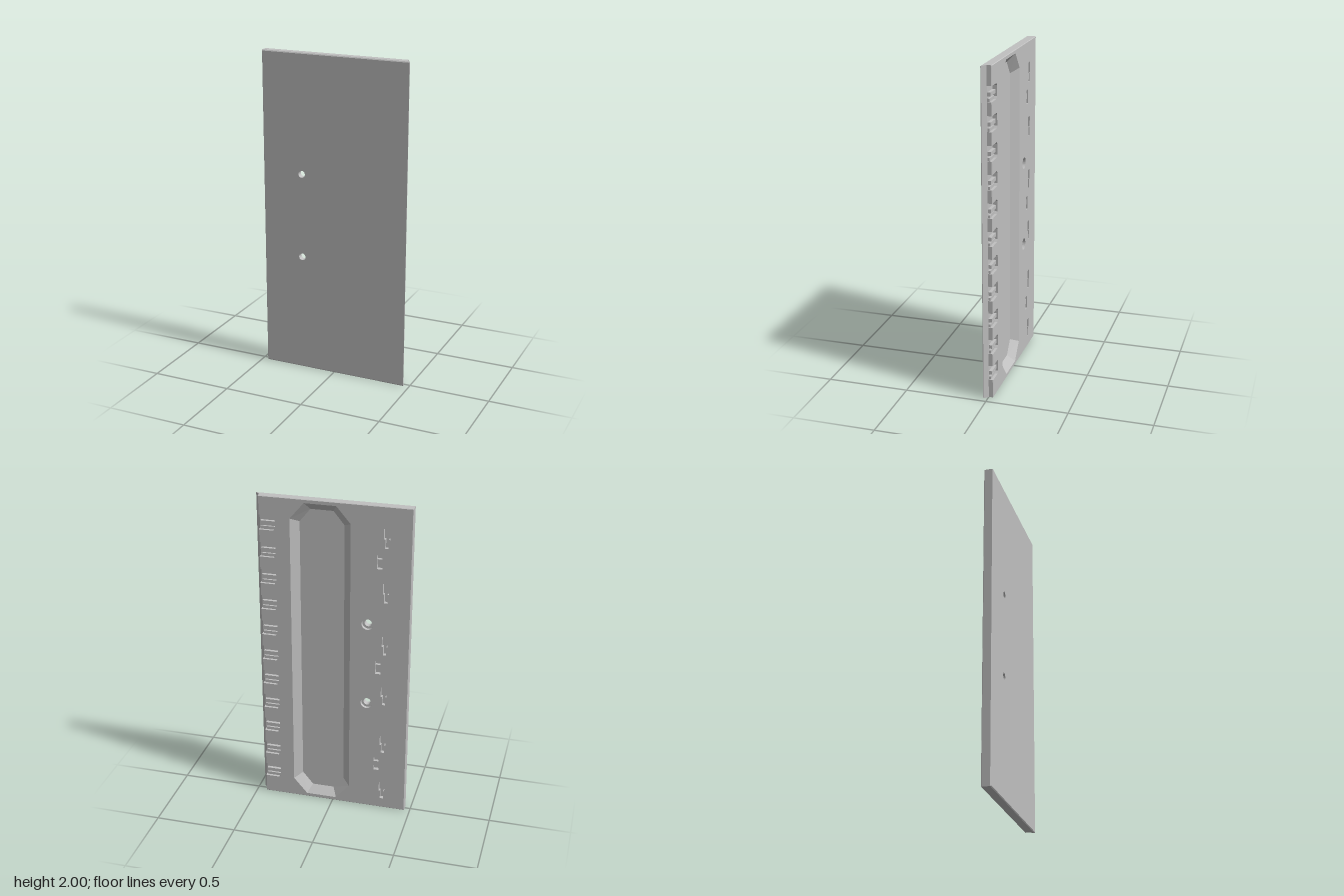
import * as THREE from 'three';
import { mergeGeometries } from 'three/addons/utils/BufferGeometryUtils.js';

const BACK = -0.028, FRONT = 0.028;
const V = (x, y) => new THREE.Vector2(x, y);
const rect = (x0, y0, x1, y1) => [V(x0, y0), V(x1, y0), V(x1, y1), V(x0, y1)];
const circle = (x, y, r, n = 28) => Array.from({ length: n }, (_, i) => {
  const a = (i / n) * Math.PI * 2;
  return V(x + r * Math.cos(a), y + r * Math.sin(a));
});
// Octagon with corners cut by cx, cy
const octagon = (x0, y0, x1, y1, cx, cy) => [
  V(x0 + cx, y0), V(x1 - cx, y0), V(x1, y0 + cy), V(x1, y1 - cy),
  V(x1 - cx, y1), V(x0 + cx, y1), V(x0, y1 - cy), V(x0, y0 + cy)];

// Walls through a stack of [loop, z]; inward walls for pockets
function walls(stack, inward = false) {
  const pos = [];
  for (let k = 0; k + 1 < stack.length; k++) {
    const [a, za] = stack[k], [b, zb] = stack[k + 1];
    a.forEach((p, i) => {
      const j = (i + 1) % a.length;
      const A = [p.x, p.y, za], B = [a[j].x, a[j].y, za];
      const C = [b[j].x, b[j].y, zb], D = [b[i].x, b[i].y, zb];
      pos.push(...(inward ? [A, C, B, A, D, C] : [A, B, C, A, C, D]).flat());
    });
  }
  const g = new THREE.BufferGeometry();
  g.setAttribute('position', new THREE.Float32BufferAttribute(pos, 3));
  g.computeVertexNormals();
  return g;
}

// Flat face at depth z, facing front or back
function cap(loop, z, facesBack, holes = []) {
  const shape = new THREE.Shape(loop);
  shape.holes = holes.map((h) => new THREE.Path(h));
  let g = new THREE.ShapeGeometry(shape);
  g.translate(0, 0, z);
  if (facesBack) {
    const idx = g.index.array;
    for (let i = 0; i < idx.length; i += 3) [idx[i + 1], idx[i + 2]] = [idx[i + 2], idx[i + 1]];
  }
  g = g.toNonIndexed();
  g.deleteAttribute('uv');
  g.computeVertexNormals();
  return g;
}

export function createModel() {
  const group = new THREE.Group();
  const grey = new THREE.MeshStandardMaterial({ color: 0xc0c0c0 });
  const add = (name, ...geos) => {
    const mesh = new THREE.Mesh(geos.length > 1 ? mergeGeometries(geos) : geos[0], grey);
    mesh.name = name;
    group.add(mesh);
    return mesh;
  };
  const backHoles = [], frontHoles = [];
  const pocket = (name, loop, floorLoop, floorZ) => {
    backHoles.push(loop);
    add(name, walls([[loop, BACK], [floorLoop, floorZ]], true), cap(floorLoop, floorZ, true));
  };
  const block = (name, x, y, w, h, z0, z1) => {
    const g = new THREE.BoxGeometry(w, h, z1 - z0);
    g.translate(x, y, (z0 + z1) / 2);
    add(name, g);
  };

  // Outline of the rear half, with eleven notches in the left edge
  const outline = [V(-0.465, 0), V(0.44, 0)];
  for (let i = 0; i < 11; i++) {
    const y0 = 0.115 + i * 0.168, y1 = y0 + 0.09;
    const notch = [V(0.44, y0), V(0.352, y0), V(0.34, y0 + 0.014),
      V(0.34, y1 - 0.014), V(0.352, y1), V(0.44, y1)];
    outline.push(...notch);
    add('notchFloor', cap(notch, 0, true));
    block('notchRib', 0.388, y0 + 0.042, 0.09, 0.022, -0.019, 0.001);
    block('notchStep', 0.388, y0 + 0.009, 0.09, 0.018, -0.012, 0.001);
  }
  outline.push(V(0.44, 2), V(-0.465, 2));
  // Small chamfer around the rear edge
  const c = 0.003;
  const rim = outline.map((p) => V(
    p.x > 0.439 ? p.x - c : p.x < -0.46 ? p.x + c : p.x,
    p.y === 0 ? c : p.y === 2 ? 2 - c : p.y));
  add('rearEdge', walls([[rim, BACK], [outline, BACK + c], [outline, 0]]));

  // Front half with a bevelled lip along the left edge
  const face = rect(-0.462, 0.006, 0.465, 1.994);
  add('frontEdge', walls([
    [rect(-0.465, 0, 0.44, 2), 0],
    [rect(-0.465, 0, 0.465, 2), 0.024],
    [face, FRONT]]));

  // Long recess with sloping walls
  pocket('recess',
    octagon(-0.107, 0.022, 0.253, 1.978, 0.085, 0.1),
    octagon(-0.06, 0.069, 0.206, 1.931, 0.065, 0.08), 0.017);

  // Counterbored screw holes
  for (const y of [0.74, 1.267]) {
    const wide = circle(-0.212, y, 0.036), narrow = circle(-0.212, y, 0.022);
    backHoles.push(wide);
    frontHoles.push(narrow);
    add('screwHole', walls([[wide, BACK], [wide, -0.008], [narrow, -0.008], [narrow, FRONT]], true));
  }

  // Keyhole slots, wide at the top and narrow below
  for (let i = 0; i < 6; i++) {
    const x = -0.318, y = 0.185 + i * 0.337;
    const key = [V(x - 0.01, y - 0.12), V(x + 0.01, y - 0.12), V(x + 0.01, y - 0.065),
      V(x + 0.018, y - 0.065), V(x + 0.018, y), V(x - 0.018, y), V(x - 0.018, y - 0.065),
      V(x - 0.01, y - 0.065)];
    pocket('keyholeSlot', key, key, -0.003);
  }

  // Small clip slots with a bridge across the middle
  for (let i = 0; i < 3; i++) {
    const x = -0.279, y = 0.315 + i * 0.675;
    const slot = rect(x - 0.016, y - 0.043, x + 0.016, y + 0.043);
    pocket('clipSlot', slot, slot, -0.003);
    block('clipBridge', x, y, 0.032, 0.032, -0.022, -0.002);
  }

  add('backFace', cap(rim, BACK, true, backHoles));
  add('frontFace', cap(face, FRONT, false, frontHoles));
  return group;
}
